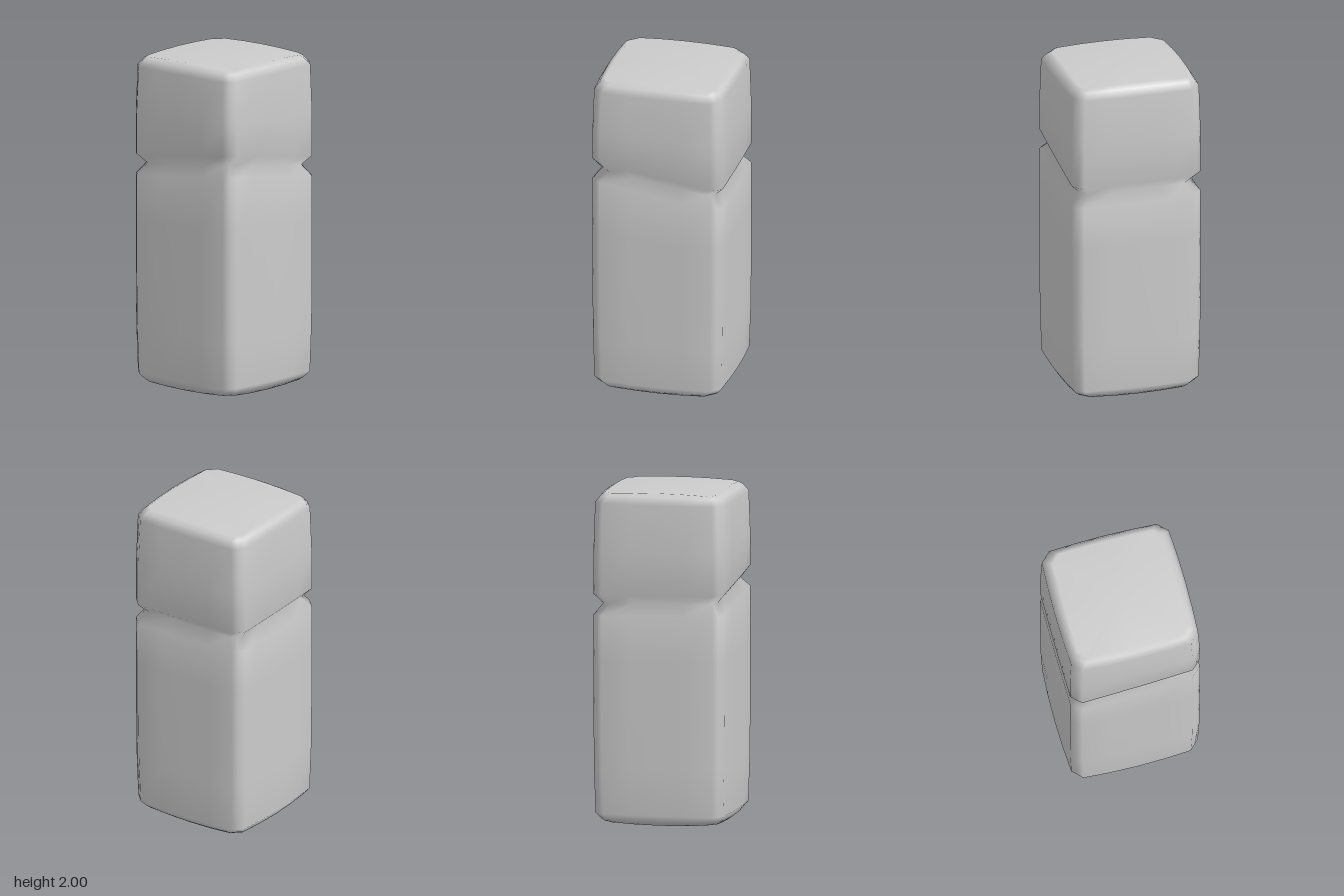
import * as THREE from 'three';

// Height of the slanted groove at a point of the plan
const grooveY = (x, z) => 1.35 + 0.05 * x + 0.085 * z + 0.17 * x * z;

// One side of the chamfered square plan: [along, outward], ending at the corner
const SIDE = [[-0.34, 0.4], [-0.17, 0.402], [0, 0.403], [0.17, 0.402], [0.34, 0.4], [0.371, 0.371]];

// Rings from bottom to top: y, inset, corner pinch, rise of the side middles,
// and how far the ring follows the slant of the groove (0 to 1)
const RINGS = [
  [0.012, 0.06, 0.0, -0.012, 0],
  [0.03, 0.028, 0.012, -0.008, 0],
  [0.065, 0, 0.012, 0, 0],
  [0.35, 0, 0.003, 0, 0],
  [0.7, 0, 0, 0, 0],
  [1.0, 0, 0, 0, 0.4],
  [-0.065, 0, 0, 0, 1],
  [0, 0.05, 0, 0, 1],
  [0.06, 0, 0, 0, 1],
  [1.65, 0, 0, 0, 0.3],
  [1.935, 0, 0.01, 0, 0],
  [1.973, 0.025, 0.014, 0.006, 0],
  [1.99, 0.06, 0.0, 0.01, 0],
];

function pillarGeometry() {
  const positions = [];
  const index = [];
  const n = SIDE.length * 4;

  for (const [y, inset, pinch, rise, slant] of RINGS) {
    for (let side = 0; side < 4; side++) {
      const c = Math.round(Math.cos(side * Math.PI / 2));
      const s = Math.round(Math.sin(side * Math.PI / 2));
      for (const [along, out] of SIDE) {
        const near = Math.abs(along) / 0.371;
        const scale = (0.4 - inset - pinch * near * near) / 0.4;
        const a = along * scale;
        const o = out * scale;
        const x = a * c + o * s;
        const z = o * c - a * s;
        const g = grooveY(x, z);
        const level = slant === 1 ? g + y : y + slant * (g - 1.35);
        positions.push(x, level + rise * (1 - near * near), z);
      }
    }
  }

  // Walls between neighbouring rings
  for (let i = 0; i < RINGS.length - 1; i++) {
    for (let j = 0; j < n; j++) {
      const k = (j + 1) % n;
      const a = i * n + j, b = i * n + k;
      index.push(a, b, b + n, a, b + n, a + n);
    }
  }

  // Slightly domed ends
  const bottom = positions.length / 3;
  positions.push(0, 0, 0, 0, 2, 0);
  const last = (RINGS.length - 1) * n;
  for (let j = 0; j < n; j++) {
    const k = (j + 1) % n;
    index.push(bottom, k, j, bottom + 1, last + j, last + k);
  }

  const geometry = new THREE.BufferGeometry();
  geometry.setAttribute('position', new THREE.Float32BufferAttribute(positions, 3));
  geometry.setIndex(index);
  geometry.computeVertexNormals();
  return geometry;
}

export function createModel() {
  const model = new THREE.Group();
  model.name = 'groovedPillar';
  const pillar = new THREE.Mesh(
    pillarGeometry(),
    new THREE.MeshStandardMaterial({ color: 0xcccccc })
  );
  pillar.name = 'pillar';
  model.add(pillar);
  return model;
}
